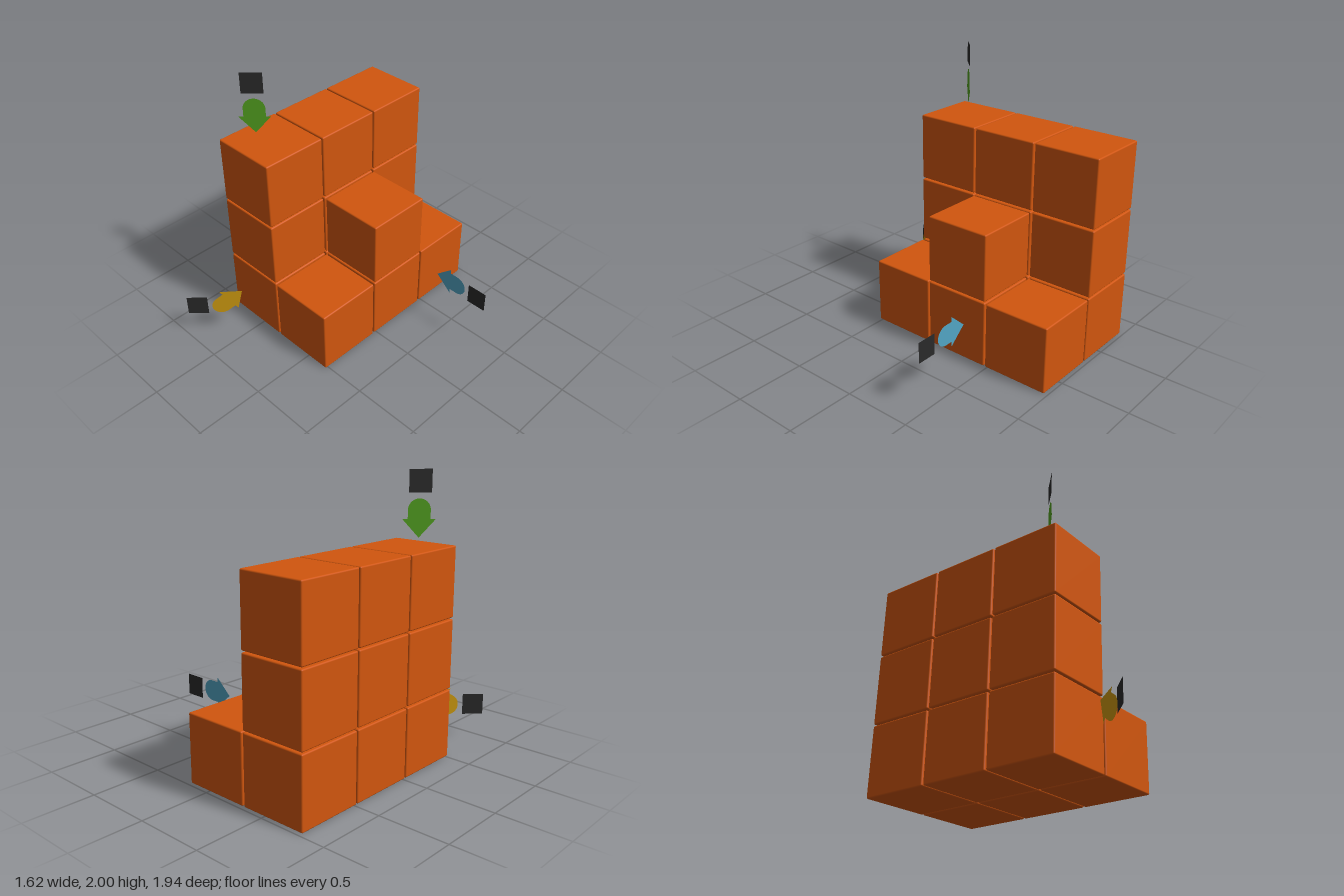
import * as THREE from 'three';
import { RoundedBoxGeometry } from 'three/addons/geometries/RoundedBoxGeometry.js';

const flat = (name, color) =>
  new THREE.MeshStandardMaterial({ name, color, side: THREE.DoubleSide });

// Flat arrow with its tip at the origin, pointing along +x, with a round tail
function arrowGeometry() {
  const r = 0.075;
  const s = new THREE.Shape();
  s.moveTo(0, 0);
  s.lineTo(-0.122, 0.11);
  s.lineTo(-0.122, r);
  s.lineTo(-0.257 + r, r);
  s.absarc(-0.257 + r, 0, r, Math.PI / 2, Math.PI * 1.5, false);
  s.lineTo(-0.122, -r);
  s.lineTo(-0.122, -0.11);
  s.closePath();
  return new THREE.ShapeGeometry(s, 16);
}

export function createModel() {
  const model = new THREE.Group();
  model.name = 'stackedCubes';

  const orange = new THREE.MeshStandardMaterial({ name: 'orange', color: 0xd1560e });
  const green = flat('green', 0x52a01f);
  const blue = flat('blue', 0x52a5c4);
  const yellow = flat('yellow', 0xc8960f);
  const charcoal = flat('charcoal', 0x2a2a2a);

  // Cubes: number stacked at each depth, front to back, for each column in x
  const pitch = 0.502, size = 0.491;
  const heights = [[3, 3, 3], [1, 2, 1]];
  const cubeGeometry = new RoundedBoxGeometry(size, size, size, 2, 0.01);
  heights.forEach((column, i) => column.forEach((count, k) => {
    for (let j = 0; j < count; j++) {
      const cube = new THREE.Mesh(cubeGeometry, orange);
      cube.name = 'cube';
      cube.position.set(-0.567 + i * pitch, 0.25 + j * pitch, 0.276 - k * pitch);
      model.add(cube);
    }
  }));

  // Direction arrows, each with a plain label plate behind its tail
  const arrowGeo = arrowGeometry();
  const plateGeo = new THREE.PlaneGeometry(0.15, 0.152);
  const deg = THREE.MathUtils.degToRad;
  const pointers = [
    { name: 'top', material: green, tip: [-0.635, 1.553, 0.34], yaw: 45, roll: -90,
      plate: [-0.638, 1.924, 0.343], plateYaw: 45 },
    { name: 'side', material: blue, tip: [0.373, 0.418, -0.45], yaw: 0, roll: 180,
      plate: [0.737, 0.41, -0.45], plateYaw: 0 },
    { name: 'front', material: yellow, tip: [-0.555, 0.37, 0.655], yaw: 58, roll: 34.5,
      plate: [-0.756, 0.268, 0.916], plateYaw: 45 },
  ];
  for (const p of pointers) {
    const arrow = new THREE.Mesh(arrowGeo, p.material);
    arrow.name = p.name + 'Arrow';
    arrow.position.set(...p.tip);
    arrow.rotation.set(0, deg(p.yaw), deg(p.roll));

    const plate = new THREE.Mesh(plateGeo, charcoal);
    plate.name = p.name + 'LabelPlate';
    plate.position.set(...p.plate);
    plate.rotation.y = deg(p.plateYaw);
    model.add(arrow, plate);
  }
  return model;
}
